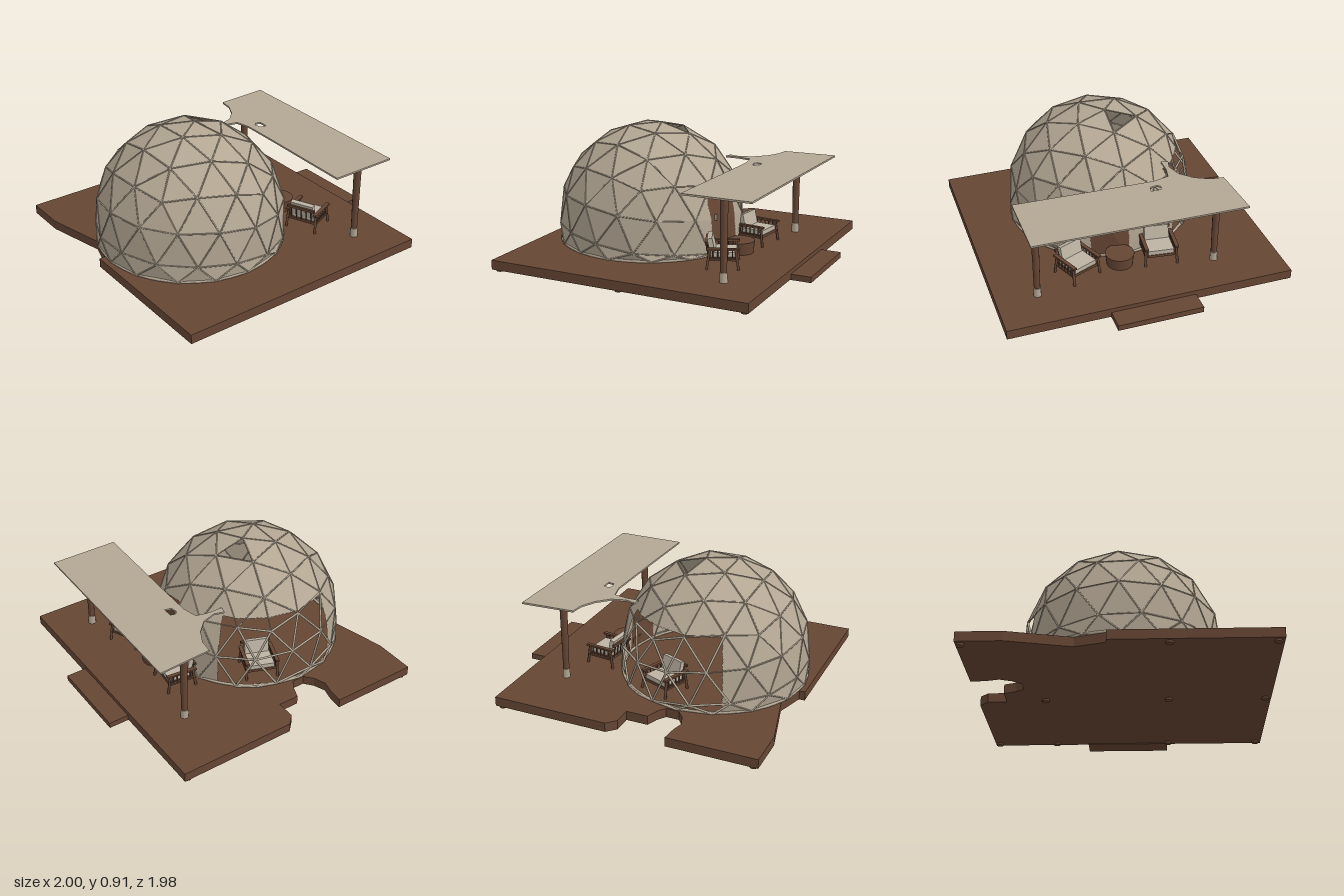
import * as THREE from 'three';

const mat = (name, color, side = THREE.FrontSide) => {
  const m = new THREE.MeshStandardMaterial({ color, side });
  m.name = name;
  return m;
};

export function createModel() {
  const root = new THREE.Group();
  const wood = mat('brown wood', 0x664634);
  const doorWood = mat('brown door', 0x664634, THREE.DoubleSide);
  const fabric = mat('beige fabric', 0xb3a693, THREE.DoubleSide);
  const cushion = mat('pale cushion', 0xbdb3a3);

  const add = (parent, name, geo, material, x = 0, y = 0, z = 0) => {
    const m = new THREE.Mesh(geo, material);
    m.name = name;
    m.position.set(x, y, z);
    parent.add(m);
    return m;
  };
  const box = (p, name, material, w, h, d, x, y, z) =>
    add(p, name, new THREE.BoxGeometry(w, h, d), material, x, y, z);
  // Horizontal slab from an (x, z) outline, hanging down from its top height
  const slab = (name, pts, top, thick, material, hole) => {
    const s = new THREE.Shape(pts.map(p => new THREE.Vector2(...p)));
    if (hole) s.holes.push(new THREE.Path(hole.map(p => new THREE.Vector2(...p))));
    const g = new THREE.ExtrudeGeometry(s, { depth: thick, bevelEnabled: false });
    g.rotateX(Math.PI / 2);
    return add(root, name, g, material, 0, top, 0);
  };
  // Round bar between two points
  const bar = (p, name, a, b, r, material, sides = 6) => {
    const m = add(p, name, new THREE.CylinderGeometry(r, r, a.distanceTo(b), sides), material);
    m.position.copy(a).lerp(b, 0.5);
    m.quaternion.setFromUnitVectors(new THREE.Vector3(0, 1, 0), b.clone().sub(a).normalize());
    return m;
  };
  const V = (x, y, z) => new THREE.Vector3(x, y, z);

  // Deck with a broken back edge, plus step and feet
  slab('deck', [[-1, 0.99], [0.86, 0.99], [0.86, -0.99], [0.04, -0.99], [-0.02, -0.93], [-0.02, -0.8],
    [-0.17, -0.8], [-0.2, -0.72], [-0.24, -0.66], [-0.33, -0.66], [-0.38, -0.72], [-0.41, -0.8],
    [-0.39, -0.88], [-0.38, -0.99], [-1, -0.99], [-1, -0.7], [-0.9, -0.28], [-0.96, -0.08], [-1, -0.08]],
  0.08, 0.065, wood);
  box(root, 'step', wood, 0.16, 0.04, 0.59, 0.92, 0.03, 0);
  for (const x of [-0.96, -0.05, 0.82]) for (const z of [-0.96, -0.53, 0.3, 0.95]) {
    if ((x === -0.05 && z === -0.96) || (x === -0.96 && z === -0.53)) continue;
    add(root, 'deckFoot', new THREE.CylinderGeometry(0.025, 0.025, 0.02, 8), wood, x, 0.01, z);
  }

  // Geodesic dome: faceted shell with openings, seams along every edge,
  // bare ribs where fabric is missing
  const CX = -0.315, CY = 0.258, R = 0.652, BASE = 0.085;
  const ico = new THREE.IcosahedronGeometry(1, 2);
  ico.rotateX(-Math.atan((1 + Math.sqrt(5)) / 2));
  ico.rotateY(Math.PI / 2);
  ico.rotateZ(-0.1);
  ico.rotateX(-0.04);
  const pos = ico.attributes.position;
  const domePoint = i => {
    const p = V().fromBufferAttribute(pos, i);
    const y = p.y * R + CY;
    const k = y < CY ? 1 / Math.max(Math.hypot(p.x, p.z), 0.01) : 1;
    return V(CX + p.x * R * k, Math.max(y, BASE), p.z * R * k);
  };
  const inBackOpening = p => {
    const a = Math.atan2(-p.z, p.x - CX) * 180 / Math.PI;
    return a > 37 && a < 116 && p.y < 0.585;
  };
  const inDoor = p => p.x > 0 && p.z > -0.01 && p.z < 0.25 &&
    p.y < Math.min(0.56 - 0.2 * Math.max(0, p.z - 0.02), 0.44 + (0.25 - p.z) * 3);
  const shell = [], doorSkin = [], edges = new Map(), N = 24;
  for (let f = 0; f < pos.count; f += 3) {
    const t = [domePoint(f), domePoint(f + 1), domePoint(f + 2)];
    if (t.every(p => p.y <= BASE)) continue;
    t.forEach((a, i) => {
      const b = t[(i + 1) % 3];
      const mid = a.clone().lerp(b, 0.5);
      edges.set(mid.toArray().map(v => v.toFixed(3)).join(), [a, b, mid]);
    });
    const c = t[0].clone().add(t[1]).add(t[2]).divideScalar(3);
    if (Math.hypot(c.x + 0.117, c.z + 0.1) < 0.07) continue; // roof window
    const at = (i, j) => t[0].clone().multiplyScalar(N - i - j)
      .addScaledVector(t[1], i).addScaledVector(t[2], j).divideScalar(N);
    const put = (p, q, r) => {
      const m = p.clone().add(q).add(r).divideScalar(3);
      if (!inBackOpening(m)) (inDoor(m) ? doorSkin : shell).push(...p, ...q, ...r);
    };
    for (let i = 0; i < N; i++) for (let j = 0; j < N - i; j++) {
      put(at(i, j), at(i + 1, j), at(i, j + 1));
      if (i + j < N - 1) put(at(i + 1, j), at(i + 1, j + 1), at(i, j + 1));
    }
  }
  const skin = (name, points, material) => {
    const g = new THREE.BufferGeometry();
    g.setAttribute('position', new THREE.Float32BufferAttribute(points, 3));
    g.computeVertexNormals();
    add(root, name, g, material);
  };
  skin('domeShell', shell, fabric);
  skin('door', doorSkin, doorWood);
  for (const [a, b, mid] of edges.values()) {
    if (inBackOpening(mid)) bar(root, 'domeRib', a, b, 0.008, fabric);
    else if (![0.1, 0.3, 0.5, 0.7, 0.9].some(k => inDoor(a.clone().lerp(b, k))))
      bar(root, 'domeSeam', a, b, 0.005, fabric, 5);
  }
  const ring = new THREE.TorusGeometry(R - 0.01, 0.01, 6, 60);
  ring.rotateX(Math.PI / 2);
  add(root, 'domeBaseRing', ring, fabric, CX, 0.088, 0);
  add(root, 'domeFloor', new THREE.CylinderGeometry(R - 0.02, R - 0.02, 0.03, 40), wood, CX, 0.07, 0);
  box(root, 'doorHandle', fabric, 0.02, 0.04, 0.009, 0.285, 0.34, 0.215);

  // Awning with a strip reaching the dome, on two posts
  slab('awning', [[0.31, 0.79], [0.79, 0.79], [0.815, -0.66], [0.44, -0.64], [0.43, -0.55], [0.38, -0.45],
    [0.3, -0.37], [0.2, -0.34], [0.13, -0.36], [0.12, -0.31], [0.22, -0.31], [0.31, -0.29],
    [0.335, -0.18], [0.33, 0.1]], 0.643, 0.012, fabric,
  [[0.39, -0.18], [0.41, -0.2], [0.445, -0.19], [0.445, -0.12], [0.4, -0.13]]);
  for (const z of [0.71, -0.54]) {
    add(root, 'awningPost', new THREE.CylinderGeometry(0.027, 0.021, 0.555, 10), wood, 0.57, 0.355, z);
    add(root, 'postSleeve', new THREE.CylinderGeometry(0.025, 0.027, 0.065, 10), fabric, 0.57, 0.112, z);
  }

  // Armchair facing +x
  const chair = (x, z, yaw) => {
    const g = new THREE.Group();
    g.name = 'armchair';
    g.position.set(x, 0.08, z);
    g.rotation.y = yaw;
    g.scale.setScalar(0.94);
    root.add(g);
    box(g, 'seatFrame', wood, 0.2, 0.02, 0.21, 0, 0.075, 0);
    box(g, 'seatCushion', cushion, 0.18, 0.035, 0.19, 0.005, 0.1, 0);
    box(g, 'backCushion', cushion, 0.035, 0.11, 0.18, -0.08, 0.16, 0).rotation.z = 0.22;
    box(g, 'backRail', wood, 0.015, 0.02, 0.22, -0.115, 0.18, 0);
    for (const s of [-1, 1]) {
      box(g, 'armrest', wood, 0.23, 0.014, 0.028, 0, 0.145, s * 0.112);
      box(g, 'sideRail', wood, 0.21, 0.014, 0.014, 0, 0.07, s * 0.112);
      for (const e of [-1, 1])
        bar(g, 'chairLeg', V(e * 0.11, 0, s * 0.118), V(e * 0.09, 0.14, s * 0.112), 0.01, wood);
      for (let i = -2; i <= 2; i++)
        bar(g, 'sideSlat', V(i * 0.034, 0.07, s * 0.112), V(i * 0.034, 0.14, s * 0.112), 0.005, wood);
    }
    for (let i = -2; i <= 2; i++)
      bar(g, 'backSlat', V(-0.1, 0.08, i * 0.04), V(-0.115, 0.18, i * 0.04), 0.005, wood);
  };
  chair(0.42, 0.39, 0.4);
  chair(0.42, -0.19, -0.12);
  chair(-0.12, -0.42, 1.2);

  // Round side table
  add(root, 'sideTable', new THREE.CylinderGeometry(0.1, 0.09, 0.085, 20), wood, 0.41, 0.122, 0.085);
  return root;
}
